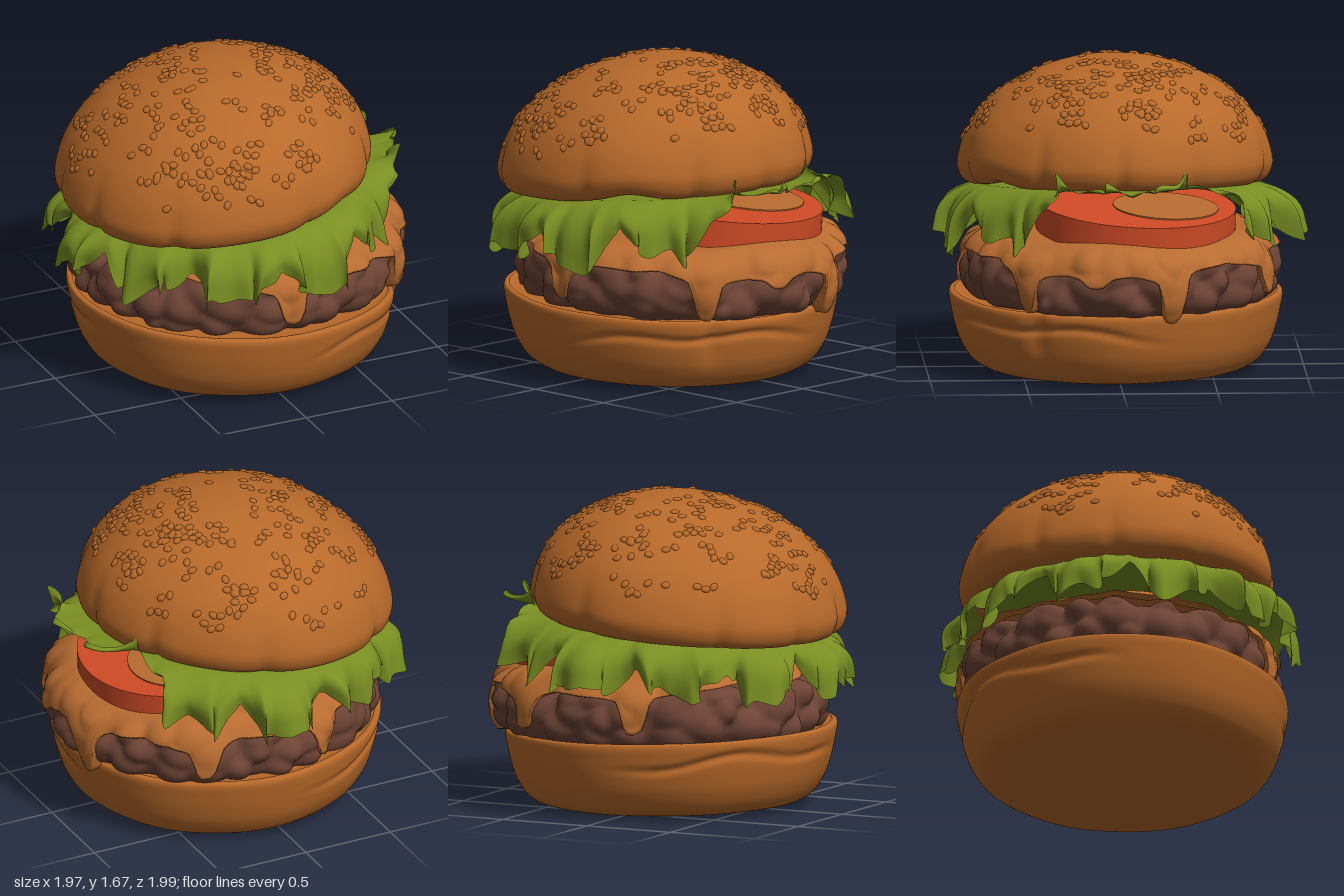
import * as THREE from 'three';
import { mergeGeometries } from 'three/addons/utils/BufferGeometryUtils.js';

const { sin, cos, abs, sqrt, exp, PI, min, max } = Math;
const { lerp, smoothstep, clamp } = THREE.MathUtils;

function seeded(seed) {
  return () => {
    seed = (seed * 1664525 + 1013904223) % 4294967296;
    return seed / 4294967296;
  };
}

// Closed ring surface: fn(angle, t) gives a point; t runs bottom to top on the outside.
function ringSurface(nu, nv, fn) {
  const pos = [], idx = [];
  for (let j = 0; j <= nv; j++)
    for (let i = 0; i < nu; i++) pos.push(...fn((i / nu) * 2 * PI, j / nv));
  for (let j = 0; j < nv; j++)
    for (let i = 0; i < nu; i++) {
      const a = j * nu + i, b = j * nu + ((i + 1) % nu), c = a + nu, d = b + nu;
      idx.push(a, c, b, b, c, d);
    }
  const g = new THREE.BufferGeometry();
  g.setAttribute('position', new THREE.Float32BufferAttribute(pos, 3));
  g.setIndex(idx);
  g.computeVertexNormals();
  return g;
}

const spline = (pts) => new THREE.SplineCurve(pts.map(([x, y]) => new THREE.Vector2(x, y)));
const angleGap = (a, b) => abs(Math.atan2(sin(a - b), cos(a - b)));
const bell = (d, width) => exp(-((d / width) ** 2));

// Top bun: domed, sheared upward toward +x, with creases around the lower rim
const topProfile = spline([[0, 0.03], [0.5, 0.03], [0.72, 0.005], [0.8, 0.02], [0.835, 0.09], [0.828, 0.17],
  [0.79, 0.28], [0.712, 0.4], [0.57, 0.53], [0.38, 0.625], [0.18, 0.68], [0, 0.695]]);
const bunBase = (x) => 0.968 + 0.08 * (x + 0.08);
function topBunPoint(a, s) {
  const p = topProfile.getPoint(s);
  const low = clamp(1 - p.y / 0.38, 0, 1);
  const crease = (1 - abs(sin(4.5 * a + 0.8 * sin(2 * a)))) ** 3;
  const r = max(0, p.x) * (1 + 0.008 * sin(3 * a + 1) + 0.007 * sin(5 * a + 2) - 0.045 * low * crease);
  const x = -0.08 + r * cos(a);
  const arch = 0.04 * low * bell(angleGap(a, 1.0), 0.2) * smoothstep(p.x, 0.5, 0.8);
  return [x, bunBase(x) + p.y + arch, r * sin(a)];
}

// Bottom bun: flat-bottomed bowl with a wandering crease
const bottomProfile = spline([[0, 0.02], [0.4, 0.012], [0.64, 0.01], [0.75, 0.05], [0.815, 0.14], [0.85, 0.24],
  [0.87, 0.33], [0.88, 0.4], [0.855, 0.42], [0.75, 0.405], [0, 0.4]]);
function bottomBunPoint(a, s) {
  const p = bottomProfile.getPoint(s);
  const line = 0.28 + 0.05 * sin(2 * a + 0.5) + 0.02 * sin(7 * a);
  const groove = bell(p.y - line, 0.02) * smoothstep(sin(2 * a + 0.4), -0.4, 0.6);
  const tear = bell(angleGap(a, 0.55), 0.06) * smoothstep(p.y, 0.1, 0.3);
  const side = smoothstep(p.x, 0.7, 0.8);
  const r = max(0, p.x) * (1 + 0.006 * sin(3 * a) + 0.004 * sin(8 * a + 1)) - side * (0.018 * groove + 0.025 * tear);
  const x = 0.025 + r * cos(a);
  return [x, p.y - x * (0.012 + 0.04 * p.y), r * sin(a)];
}

// Patty: slightly oval disc whose rim is covered with rounded lumps
const pattyProfile = spline([[0, 0.38], [0.6, 0.38], [0.77, 0.39], [0.83, 0.47], [0.84, 0.58],
  [0.79, 0.67], [0.6, 0.7], [0, 0.71]]);
const pattyPlace = (a, r, y) => [0.07 + r * cos(a), y, -0.03 + 0.94 * r * sin(a)];
const rnd = seeded(7);
const lumps = [];
for (const y of [0.45, 0.56, 0.67])
  for (let i = 0; i < 26; i++)
    lumps.push([((i + rnd() * 0.9) / 26) * 2 * PI, y + (rnd() - 0.5) * 0.08, 0.09 + rnd() * 0.06]);
function lumpHeight(a, y) {
  let h = 0;
  for (const [la, ly, size] of lumps) {
    const d2 = ((angleGap(a, la) * 0.87) ** 2 + (y - ly) ** 2) / (size * size);
    h = max(h, 0.07 * (1 - d2));
  }
  return h;
}
function pattyPoint(a, t) {
  const p = pattyProfile.getPoint(t);
  const h = lumpHeight(a, p.y) * smoothstep(p.x, 0.55, 0.78);
  return pattyPlace(a, max(0, p.x) + h, p.y + 0.3 * h * smoothstep(p.y, 0.55, 0.68));
}

// Cheese: sheet draped over the lumps with blunt drips; t = 0 is the turned-in lower edge
const drips = [[1.64, 0.17], [0.68, 0.19], [-0.29, 0.22], [-1.1, 0.15], [-1.87, 0.17], [0.2, 0.04]];
function cheesePoint(a, t) {
  let yEnd = 0.685 - 0.04 * cos(a) + 0.012 * sin(9 * a);
  for (const [da, len] of drips) {
    const d = angleGap(a, da);
    yEnd -= len * exp(-((d / 0.08) ** 4)) + 0.06 * bell(d, 0.2);
  }
  const u = 1 - max(0, t - 0.06) / 0.94;
  let r = (u / 0.35) * 0.72, y = 0.765;
  if (u >= 0.35) {
    const v = (u - 0.35) / 0.65;
    y = lerp(0.765, yEnd, v ** 1.5);
    const k = clamp((y - 0.56) / 0.205, 0, 1);
    r = 0.72 + 0.165 * sqrt(1 - k * k) + 0.6 * lumpHeight(a, y) * smoothstep(v, 0, 0.4);
  }
  if (t < 0.05) r -= 0.07;
  const bump = 0.012 * sin(5 * a + 1) * smoothstep(r, 0.4, 0.7) * smoothstep(y, 0.6, 0.75);
  const mound = 0.08 * smoothstep(-r * cos(a), 0, 0.35) * (1 - smoothstep(r, 0.5, 0.74));
  return pattyPlace(a, r, y + bump + mound);
}

// Lettuce: ruffled leaf hanging down all round, but lifted above the tomato at +x
const TEETH = 120;
const rl = seeded(21);
const teeth = Array.from({ length: TEETH }, () => rl() - 0.5);
function lettucePoint(a, t) {
  const lift = 1 - smoothstep(angleGap(a, -0.13), 0.48, 0.78);
  if (t < 0.25) {
    const r = (t / 0.25) * 0.72, x = r * cos(a) - 0.02;
    return [x, bunBase(x) + 0.01, r * sin(a)];
  }
  const u = (t - 0.25) / 0.75;
  const notch = (1 - abs(sin(5.5 * a + 0.305))) ** 3;
  const wave = 13 * a + 1.5 * sin(3 * a);
  const k = (a / (2 * PI)) * TEETH, i = Math.floor(k);
  const tooth = lerp(teeth[i % TEETH], teeth[(i + 1) % TEETH], k - i);
  const rEdge = 0.905 + 0.025 * cos(4 * a) - 0.06 * notch + 0.035 * sin(wave) + 0.05 * bell(angleGap(a, -1.1), 0.45)
    + 0.03 * bell(angleGap(a, 0), 0.25) - 0.12 * bell(angleGap(a, -0.47), 0.12);
  const hang = 0.675 + 0.14 * notch + 0.08 * bell(angleGap(a, 0.85), 0.25) + 0.06 * bell(angleGap(a, -1.2), 0.5);
  const yEdge = lerp(hang, 1.1 - 0.06 * notch, lift);
  const r = lerp(0.72, rEdge, sin((min(1, 1.25 * u) * PI) / 2)) + u ** 3 * 0.1 * tooth
    + u * (0.016 * sin(37 * a) + 0.012 * sin(24 * a + 2));
  const b = a + u * 0.05 * sin(22 * a + 1);
  const x = r * cos(b) - 0.02;
  const y0 = bunBase(0.72 * cos(a) - 0.02) + 0.01;
  const y = lerp(y0, yEdge, u ** 1.6) + u * u * (0.03 * sin(wave + 1.2) + 0.018 * sin(41 * a))
    + u ** 3 * 0.14 * tooth * (lift - 0.5);
  return [x, y, r * sin(b)];
}

// Sesame seeds: flattened ovals laid on the dome in small clusters
function seedGeometry() {
  const rand = seeded(11), list = [];
  const V = (a, s) => new THREE.Vector3(...topBunPoint(a, s));
  const basis = new THREE.Matrix4();
  while (list.length < 370) {
    const s0 = 0.53 + rand() * 0.45, a0 = rand() * 2 * PI;
    const r0 = topProfile.getPoint(s0).x;
    if (rand() > (r0 / 0.8) * (s0 < 0.6 ? 0.45 : 1)) continue;
    const count = 1 + Math.floor(rand() * 3);
    for (let n = 0; n < count; n++) {
      const a = a0 + (n * 0.045) / max(r0, 0.1), s = min(0.985, s0 + (rand() - 0.5) * 0.04);
      const p = V(a, s);
      const e = V(a + 0.01, s).sub(p).normalize();
      const up = V(a, s + 0.005).sub(p).cross(e).normalize();
      e.applyAxisAngle(up, rand() * PI);
      const side = new THREE.Vector3().crossVectors(e, up);
      basis.makeBasis(e, up, side).setPosition(p);
      list.push(new THREE.SphereGeometry(1, 8, 5).scale(0.026, 0.011, 0.02).applyMatrix4(basis));
    }
  }
  return mergeGeometries(list);
}

export function createModel() {
  const group = new THREE.Group();
  const material = (name, color, side = THREE.FrontSide) => {
    const m = new THREE.MeshStandardMaterial({ color, side });
    m.name = name;
    return m;
  };
  const bun = material('toasted bun', 0xb8692a);
  const cheese = material('melted cheese', 0xb86b30, THREE.DoubleSide);
  const meat = material('grilled meat', 0x6e4435);
  const green = material('lettuce green', 0x7a8d22, THREE.DoubleSide);
  const red = material('tomato red', 0xcf4a26);
  const add = (name, geometry, mat, parent = group) => {
    const mesh = new THREE.Mesh(geometry, mat);
    mesh.name = name;
    parent.add(mesh);
    return mesh;
  };

  add('bottomBun', ringSurface(140, 60, bottomBunPoint), bun);
  add('patty', ringSurface(220, 50, pattyPoint), meat);
  add('cheese', ringSurface(240, 34, cheesePoint), cheese);

  // Tomato slice tilted toward +x, with a thin smear of sauce on top
  const tomato = new THREE.Group();
  tomato.name = 'tomato';
  tomato.position.set(0.31, 0.84, -0.1);
  tomato.rotation.set(-0.05, 0, -0.1);
  add('tomatoSlice', new THREE.CylinderGeometry(0.525, 0.53, 0.15, 64), red, tomato);
  add('sauce', new THREE.CylinderGeometry(0.28, 0.28, 0.008, 40), cheese, tomato).position.set(0.05, 0.078, -0.15);
  group.add(tomato);

  add('lettuce', ringSurface(520, 24, lettucePoint), green);
  add('topBun', ringSurface(150, 70, topBunPoint), bun);
  add('sesameSeeds', seedGeometry(), bun);
  return group;
}
